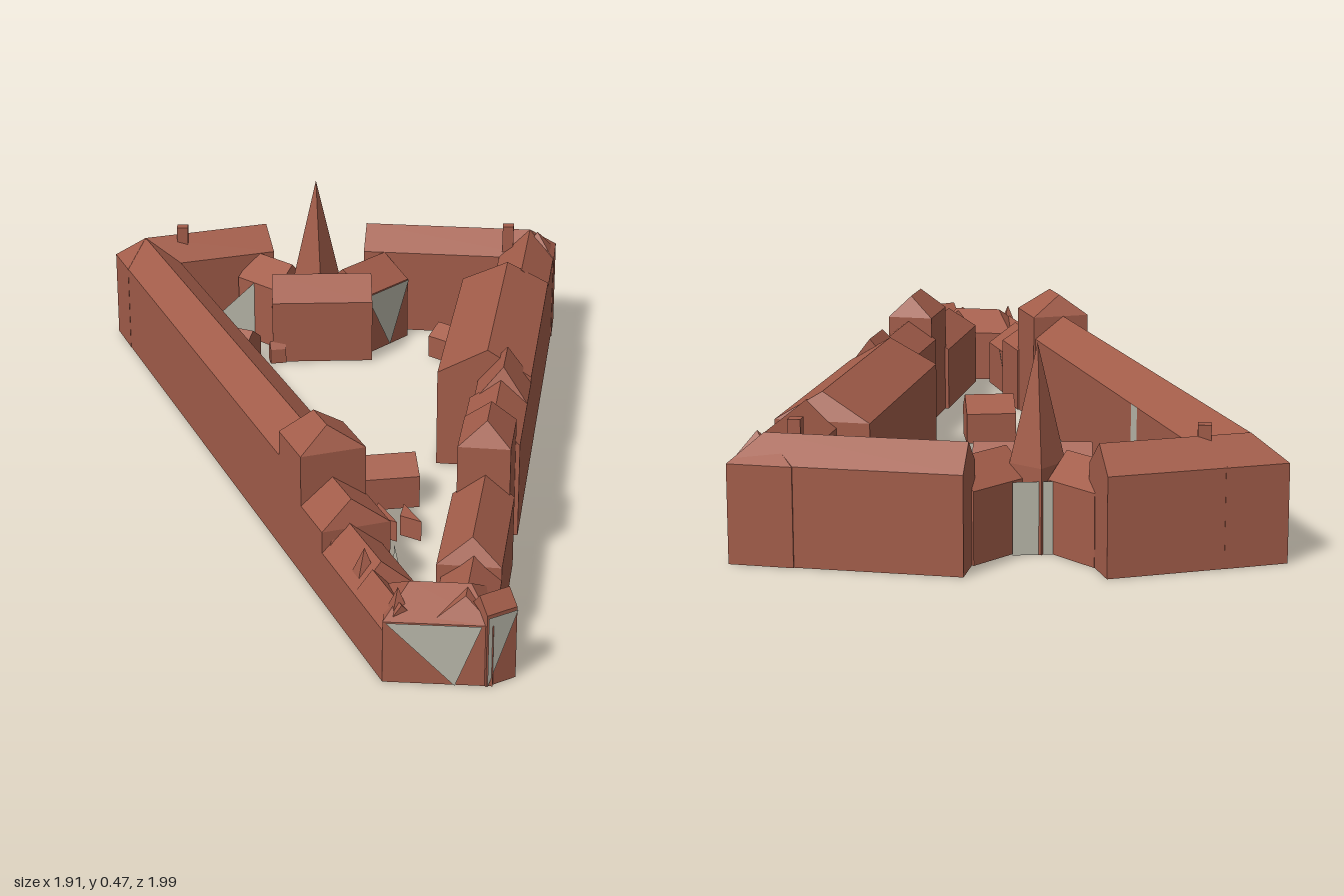
import * as THREE from 'three';

const brick = new THREE.MeshStandardMaterial({ color: 0xa35d4a, flatShading: true });
brick.name = 'brick red';
const stone = new THREE.MeshStandardMaterial({ color: 0xb9b8aa, flatShading: true, side: THREE.DoubleSide });
stone.name = 'pale stone';

export function createModel() {
  const model = new THREE.Group();

  function add(name, geometry, material = brick) {
    const mesh = new THREE.Mesh(geometry, material);
    mesh.name = name;
    model.add(mesh);
    return mesh;
  }

  // Faces given as lists of corner points, each split into a fan
  function faces(polys) {
    const pos = [];
    for (const p of polys)
      for (let i = 1; i < p.length - 1; i++) pos.push(...p[0], ...p[i], ...p[i + 1]);
    const g = new THREE.BufferGeometry();
    g.setAttribute('position', new THREE.Float32BufferAttribute(pos, 3));
    g.computeVertexNormals();
    return g;
  }

  // Pitched-roof hall: outer wall runs a to b on the ground, depth w goes inward;
  // hips shorten the ridge at either end
  function hall(name, a, b, w, eave, ridge, hipA = 0, hipB = 0) {
    const len = Math.hypot(b[0] - a[0], b[1] - a[1]);
    const dx = (b[0] - a[0]) / len, dz = (b[1] - a[1]) / len;
    const P = (t, o, y) => [a[0] + dx * t + dz * o, y, a[1] + dz * t - dx * o];
    const ring = (t, rt) => [P(t, 0, 0), P(t, w, 0), P(t, w, eave), P(rt, w * 0.47, ridge), P(t, 0, eave)];
    const A = ring(0, hipA), B = ring(len, len - hipB);
    const polys = [
      [A[4], A[2], A[1], A[0]], [A[4], A[3], A[2]],
      [B[0], B[1], B[2], B[4]], [B[4], B[2], B[3]],
    ];
    for (let i = 0; i < 5; i++) {
      const j = (i + 1) % 5;
      polys.push([A[i], A[j], B[j], B[i]]);
    }
    return add(name, faces(polys));
  }

  // Several halls along one straight wing: [from, to, offset, width, eave, ridge, hipA, hipB]
  function wing(name, a, b, parts) {
    const len = Math.hypot(b[0] - a[0], b[1] - a[1]);
    const dx = (b[0] - a[0]) / len, dz = (b[1] - a[1]) / len;
    parts.forEach(([t0, t1, off, ...rest], i) => {
      const at = t => [a[0] + dx * t + dz * off, a[1] + dz * t - dx * off];
      hall(name + (i + 1), at(t0), at(t1), ...rest);
    });
  }

  // Five outer corners of the plan
  const west = [-0.96, -0.24], south = [0.73, 0.99], east = [0.93, 0.88], north = [0.02, -1];
  const westEnd = [-0.71, -0.58], northEnd = [-0.455, -0.76];

  // Long south-west wing, stepping down towards the point
  wing('longWing', west, south, [
    [0, 1.45, 0, 0.15, 0.23, 0.29, 0.07, 0],
    [1.43, 1.58, 0, 0.155, 0.29, 0.345, 0.03, 0.03],
    [1.57, 1.72, 0, 0.16, 0.17, 0.23, 0, 0.02],
    [1.7, 1.93, 0, 0.14, 0.12, 0.18, 0, 0.02],
    [1.92, 2.09, 0, 0.09, 0.12, 0.17],
  ]);

  // Long east wing, from the point back to the north corner
  wing('eastWing', east, north, [
    [0, 0.24, 0, 0.13, 0.14, 0.19, 0.03, 0],
    [0.2, 0.55, 0, 0.14, 0.17, 0.225, 0.03, 0],
    [0.54, 0.71, 0.01, 0.12, 0.29, 0.345, 0.03, 0.03],
    [0.7, 0.96, 0, 0.14, 0.23, 0.28],
    [0.94, 1.1, 0, 0.13, 0.23, 0.31, 0.03, 0],
    [1.07, 1.73, 0, 0.23, 0.245, 0.31, 0, 0.03],
    [1.7, 2.09, 0, 0.15, 0.23, 0.29, 0, 0.07],
  ]);

  // Short wings at the corners
  hall('northWing', north, northEnd, 0.13, 0.23, 0.29, 0.07, 0);
  hall('westWing', westEnd, west, 0.13, 0.23, 0.29, 0, 0.07);
  hall('pointHall', south, east, 0.17, 0.14, 0.195, 0.05, 0.05);

  // Low linking blocks around the entrance
  hall('entranceLink1', [-0.42, -0.68], [-0.44, -0.5], 0.16, 0.17, 0.23);
  hall('entranceLink2', [-0.32, -0.56], [-0.54, -0.4], 0.13, 0.17, 0.23);
  hall('entranceLink3', [-0.49, -0.5], [-0.64, -0.53], 0.12, 0.17, 0.23);

  // Four-sided block or pyramid standing at x, z
  function block(name, x, z, size, y0, y1, turn) {
    const m = add(name, new THREE.BoxGeometry(size, y1 - y0, size));
    m.position.set(x, (y0 + y1) / 2, z);
    m.rotation.y = turn;
  }
  function pyramid(name, x, z, half, y0, y1, turn = 0) {
    const g = new THREE.ConeGeometry(half * Math.SQRT2, y1 - y0, 4).rotateY(Math.PI / 4 + turn);
    add(name, g).position.set(x, (y0 + y1) / 2, z);
  }

  // Spire over the entrance
  block('spireTower', -0.445, -0.48, 0.09, 0, 0.2, 0);
  pyramid('spire', -0.445, -0.48, 0.045, 0.2, 0.475);

  // Chimneys and roof peaks
  block('chimney', -0.8, -0.34, 0.03, 0.23, 0.315, 0.6);
  block('chimney', -0.05, -0.85, 0.03, 0.23, 0.315, 0.5);
  pyramid('cornerPeak', -0.87, -0.26, 0.045, 0.23, 0.29, 0.94);
  pyramid('cornerPeak', 0.01, -0.91, 0.045, 0.23, 0.29, 0.45);
  for (const [x, z] of [[0.44, 0.73], [0.58, 0.83], [0.735, 0.94]])
    pyramid('dormer', x, z, 0.03, 0.11, 0.2, -0.63);

  // Small turret at the point
  hall('pointTurret', [0.92, 0.89], [0.95, 0.82], 0.06, 0.165, 0.2);

  // Courtyard houses
  hall('courtHouse', [0.26, 0.34], [0.355, 0.25], 0.12, 0.08, 0.12);
  hall('courtHouse', [-0.13, -0.565], [-0.055, -0.555], 0.09, 0.06, 0.09);
  hall('courtHouse', [-0.585, -0.22], [-0.505, -0.23], 0.08, 0.06, 0.09);
  hall('courtHouse', [-0.46, -0.28], [-0.43, -0.31], 0.03, 0.04, 0.06);

  // Courtyard sheds with a three-cornered plan
  function shed(x, z, k) {
    const plan = new THREE.Shape([[-0.045, 0.03], [-0.015, -0.035], [0.05, -0.035]].map(([u, v]) => new THREE.Vector2(u * k, v * k)));
    const g = new THREE.ExtrudeGeometry(plan, { depth: 0.05, bevelEnabled: false }).rotateX(-Math.PI / 2);
    add('courtShed', g).position.set(x, 0, z);
  }
  for (const [x, z] of [[-0.35, -0.125], [-0.115, 0.045], [0.115, 0.215], [0.36, 0.4]]) shed(x, z, 1);
  shed(0.41, 0.37, 0.9);

  // Pale stone patches on the walls
  const panel = (name, ...pts) => add(name, faces([pts]), stone);
  panel('pointWallPatch', [0.738, 0.14, 0.992], [0.864, 0, 0.922], [0.912, 0.14, 0.896]);
  panel('turretPatch', [0.924, 0, 0.89], [0.954, 0.16, 0.822], [0.924, 0.16, 0.89]);
  panel('entrancePatch', [-0.51, 0, -0.50], [-0.44, 0, -0.565], [-0.44, 0.17, -0.565], [-0.51, 0.17, -0.50]);
  panel('linkWallPatch', [-0.256, 0.17, -0.66], [-0.276, 0.17, -0.48], [-0.266, 0, -0.58]);
  panel('courtWallPatch', [-0.425, 0, -0.036], [-0.36, 0, 0.011], [-0.36, 0.23, 0.011], [-0.425, 0.23, -0.036]);
  panel('westInnerPatch', [-0.75, 0, -0.30], [-0.6, 0, -0.40], [-0.6, 0.17, -0.40]);
  panel('pointInnerPatch', [0.54, 0.12, 0.65], [0.66, 0.12, 0.80], [0.6, 0, 0.76]);
  panel('eastInnerPatch', [0.7, 0, 0.7], [0.74, 0, 0.78], [0.7, 0.15, 0.7]);

  return model;
}
